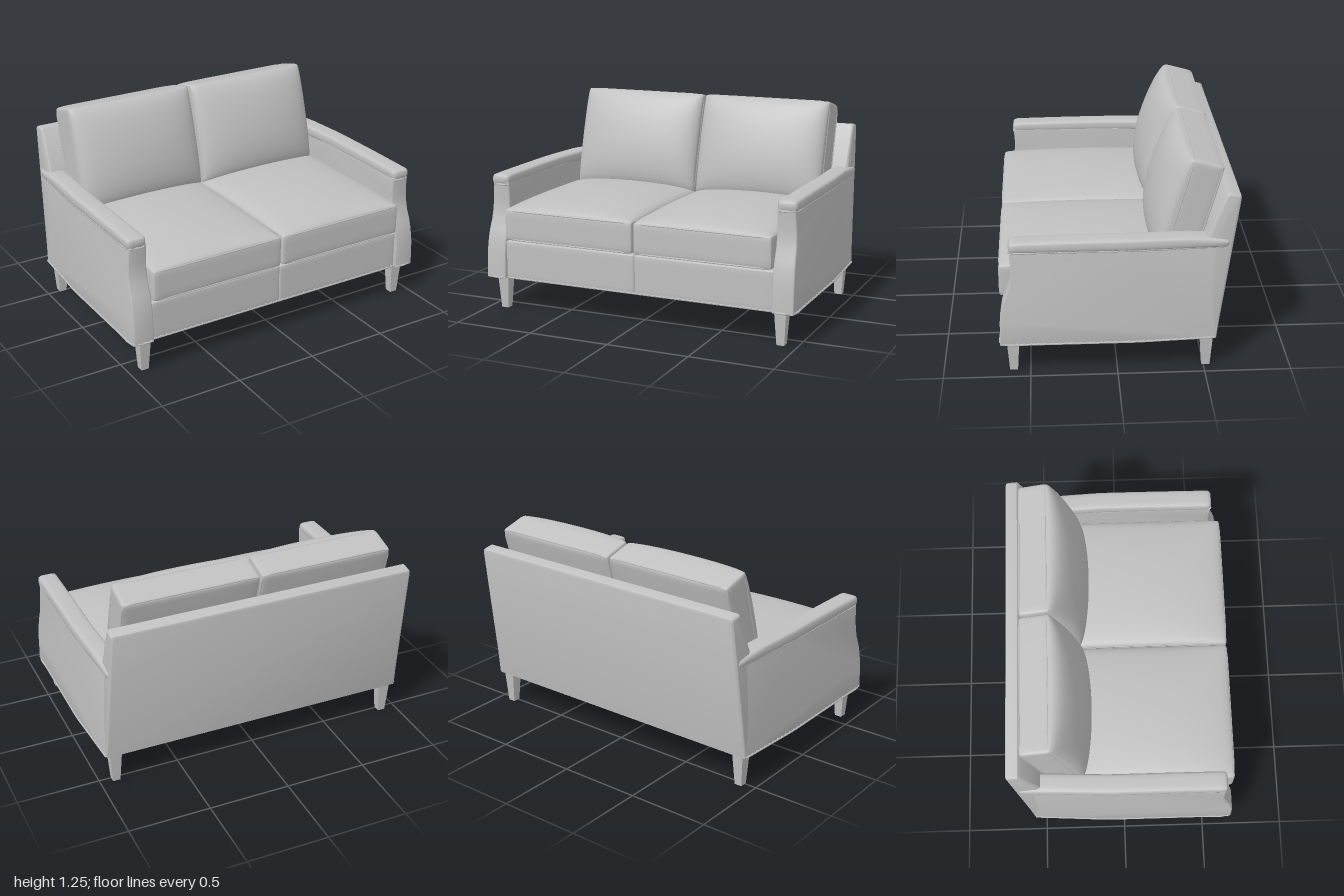
import * as THREE from 'three';
import { mergeVertices, mergeGeometries, toCreasedNormals } from 'three/addons/utils/BufferGeometryUtils.js';

const { lerp, clamp } = THREE.MathUtils;
const fabric = new THREE.MeshStandardMaterial({ color: 0xc0c0c0 });
fabric.name = 'grey upholstery';

function mesh(name, geometry, parent) {
  const m = new THREE.Mesh(geometry, fabric);
  m.name = name;
  parent.add(m);
  return m;
}

function warp(geometry, rule) {
  const pos = geometry.attributes.position;
  const p = new THREE.Vector3();
  for (let i = 0; i < pos.count; i++) {
    rule(p.fromBufferAttribute(pos, i));
    pos.setXYZ(i, p.x, p.y, p.z);
  }
  return geometry;
}

// Finely divided box with rounded edges, reshaped by an optional rule
function softBox(w, h, d, r, segs, rule = () => {}) {
  let g = new THREE.BoxGeometry(w, h, d, ...segs);
  g.deleteAttribute('uv');
  g.deleteAttribute('normal');
  g = mergeVertices(g);
  const half = new THREE.Vector3(w / 2, h / 2, d / 2);
  const inner = half.clone().subScalar(r);
  const low = inner.clone().negate();
  warp(g, p => {
    for (const a of ['x', 'y', 'z']) p[a] = half[a] * Math.sin((p[a] / half[a]) * Math.PI / 2);
    const core = p.clone().clamp(low, inner);
    p.sub(core).setLength(r).add(core);
    rule(p, half);
  });
  g.computeVertexNormals();
  return g;
}

function tube(points, radius, closed = false) {
  const curve = new THREE.CatmullRomCurve3(points, closed);
  return new THREE.TubeGeometry(curve, points.length * 2, radius, 6, closed);
}

// Crowned cushion facing +z, with piping round both rims
function cushion(name, [w, h, d], crown, peak, power, parent) {
  const g = new THREE.Group();
  g.name = name;
  parent.add(g);
  mesh(name + 'Body', softBox(w, h, d, 0.02, [20, 20, 8], (p, half) => {
    const u = clamp(p.x / half.x, -1, 1);
    let v = clamp(p.y / half.y, -1, 1);
    v = v > peak ? (v - peak) / (1 - peak) : (peak - v) / (1 + peak);
    const f = Math.max(0, (1 - u * u) * (1 - v * v)) ** power;
    p.z += f * (p.z > 0 ? crown : 0.01) * p.z / half.z;
  }), g);
  for (const side of [1, -1]) {
    const pts = [];
    for (let i = 0; i < 64; i++) {
      const t = (i + 0.5) / 64 * Math.PI * 2, c = Math.cos(t), s = Math.sin(t);
      pts.push(new THREE.Vector3(
        Math.sign(c) * Math.abs(c) ** 0.1 * (w / 2 - 0.004),
        Math.sign(s) * Math.abs(s) ** 0.1 * (h / 2 - 0.004),
        side * (d / 2 - 0.006)));
    }
    mesh(name + 'Piping', tube(pts, 0.005, true), g);
  }
  return g;
}

// Side outline given as [z, y], extruded across x and centred
function sidePanel(outline, width, bevel, rule) {
  const shape = new THREE.Shape(outline.map(([z, y]) => new THREE.Vector2(z, y)));
  const g = new THREE.ExtrudeGeometry(shape, {
    depth: width - 2 * bevel, bevelThickness: bevel, bevelSize: bevel,
    bevelOffset: -bevel, bevelSegments: 3,
  });
  g.rotateY(-Math.PI / 2).translate(width / 2 - bevel, 0, 0);
  g.deleteAttribute('uv');
  return toCreasedNormals(warp(g, rule), 0.6);
}

// Outer face of the arm: leans in towards the top and the back
const backTaper = z => 0.03 * clamp((-0.1 - z) / 0.5, 0, 1);
const outerX = (y, z) => 0.994 - 0.022 * clamp((y - 0.2) / 0.57, 0, 1) ** 2 - backTaper(z);

function nailRow(from, to, place) {
  const list = [];
  const n = Math.round(Math.abs(to - from) / 0.04);
  for (let i = 0; i <= n; i++) {
    list.push(new THREE.SphereGeometry(0.007, 6, 4).translate(...place(lerp(from, to, i / n))));
  }
  return mergeGeometries(list);
}

export function createModel() {
  const sofa = new THREE.Group();
  sofa.name = 'sofa';

  // Base with a hollow underside that drops towards the front
  const deck = new THREE.BoxGeometry(1.76, 0.19, 1.17).translate(0, 0.345, 0.035);
  mesh('seatDeck', toCreasedNormals(warp(deck, p => {
    if (p.y < 0.3 && p.z > 0) p.y -= 0.035;
  }), 0.5), sofa);

  // Backrest, leaning backwards
  const back = [[-0.565, 0.2], [-0.681, 1.06], [-0.677, 1.075], [-0.663, 1.082], [-0.61, 1.09], [-0.597, 1.078], [-0.5, 0.84], [-0.42, 0.6], [-0.42, 0.3], [-0.48, 0.2]];
  mesh('backrest', sidePanel(back, 1.9, 0.016, p => {
    p.x *= lerp(1.018, 0.99, clamp((p.y - 0.2) / 0.6, 0, 1));
  }), sofa);

  const arm = [[0.67, 0.2], [0.666, 0.35], [0.652, 0.44], [0.636, 0.5], [0.612, 0.56], [0.6, 0.62], [0.597, 0.68], [0.603, 0.79], [-0.1, 0.79], [-0.35, 0.79], [-0.635, 0.79], [-0.565, 0.2], [-0.35, 0.2], [-0.1, 0.2]];
  for (const s of [1, -1]) {
    const side = s > 0 ? 'left' : 'right';

    // Arm panel and its padded top
    mesh(side + 'Arm', sidePanel(arm, 0.13, 0.01, p => {
      const t = p.x * s / 0.13 + 0.5;
      p.x = s * lerp(0.862, outerX(p.y, p.z), t);
    }), sofa);
    mesh(side + 'ArmPad', softBox(0.122, 0.066, 1.235, 0.028, [8, 6, 24], p => {
      p.z -= 0.01;
      p.x = s * (0.922 - backTaper(p.z) * 0.8) + p.x;
      if (p.y > 0) p.y += 0.007 * Math.cos(p.z * 2.4) - 0.012 * clamp((-0.4 - p.z) / 0.2, 0, 1);
      p.y += 0.801;
    }), sofa);

    // Welts and nailheads along the arm
    for (const [label, y, z0, z1, front] of [['Base', 0.204, 0.65, -0.56, 0.668], ['Top', 0.772, 0.585, -0.62, 0.602]]) {
      const pts = [new THREE.Vector3(s * 0.87, y, front), new THREE.Vector3(s * (outerX(y, z0) - 0.015), y, front)];
      for (let i = 0; i <= 8; i++) {
        const z = lerp(z0, z1, i / 8);
        pts.push(new THREE.Vector3(s * outerX(y, z), y, z));
      }
      mesh(side + 'Arm' + label + 'Welt', tube(pts, 0.006), sofa);
      mesh(side + 'Arm' + label + 'Nails', nailRow(z0, z1 + 0.02, z => [s * outerX(y, z), y + 0.004, z]), sofa);
      mesh(side + 'ArmFront' + label + 'Nails', nailRow(0.88, 0.96, x => [s * x, y + 0.004, front + 0.002]), sofa);
    }

    // Front rail half, with its welt and nailheads
    mesh(side + 'FrontRail', softBox(0.868, 0.24, 0.06, 0.014, [12, 8, 4])
      .translate(s * 0.433, 0.317, 0.62), sofa);
    mesh(side + 'RailWelt', tube([0, 0.43, 0.87].map(x => new THREE.Vector3(s * x, 0.204, 0.648)), 0.006), sofa);
    mesh(side + 'RailNails', nailRow(0.02, 0.85, x => [s * x, 0.208, 0.65]), sofa);

    // Seat cushion
    const seat = cushion(side + 'SeatCushion', [0.856, 1.09, 0.19], 0.07, 0, 0.5, sofa);
    seat.rotation.x = -Math.PI / 2;
    seat.position.set(s * 0.431, 0.54, 0.125);

    // Back cushion, leaning on the backrest
    const pillow = cushion(side + 'BackCushion', [0.836, 0.64, 0.18], 0.123, -0.1, 0.4, sofa);
    pillow.rotation.x = -0.27;
    pillow.position.set(s * 0.423, 0.92, -0.425);

    // Tapered square legs
    for (const [label, z] of [['Front', 0.597], ['Rear', -0.514]]) {
      const leg = new THREE.CylinderGeometry(0.038 * Math.SQRT2, 0.023 * Math.SQRT2, 0.23, 4, 1)
        .rotateY(Math.PI / 4).translate(s * 0.902, 0.115, z);
      mesh(side + label + 'Leg', toCreasedNormals(leg, 0.5), sofa);
    }
  }
  return sofa;
}
